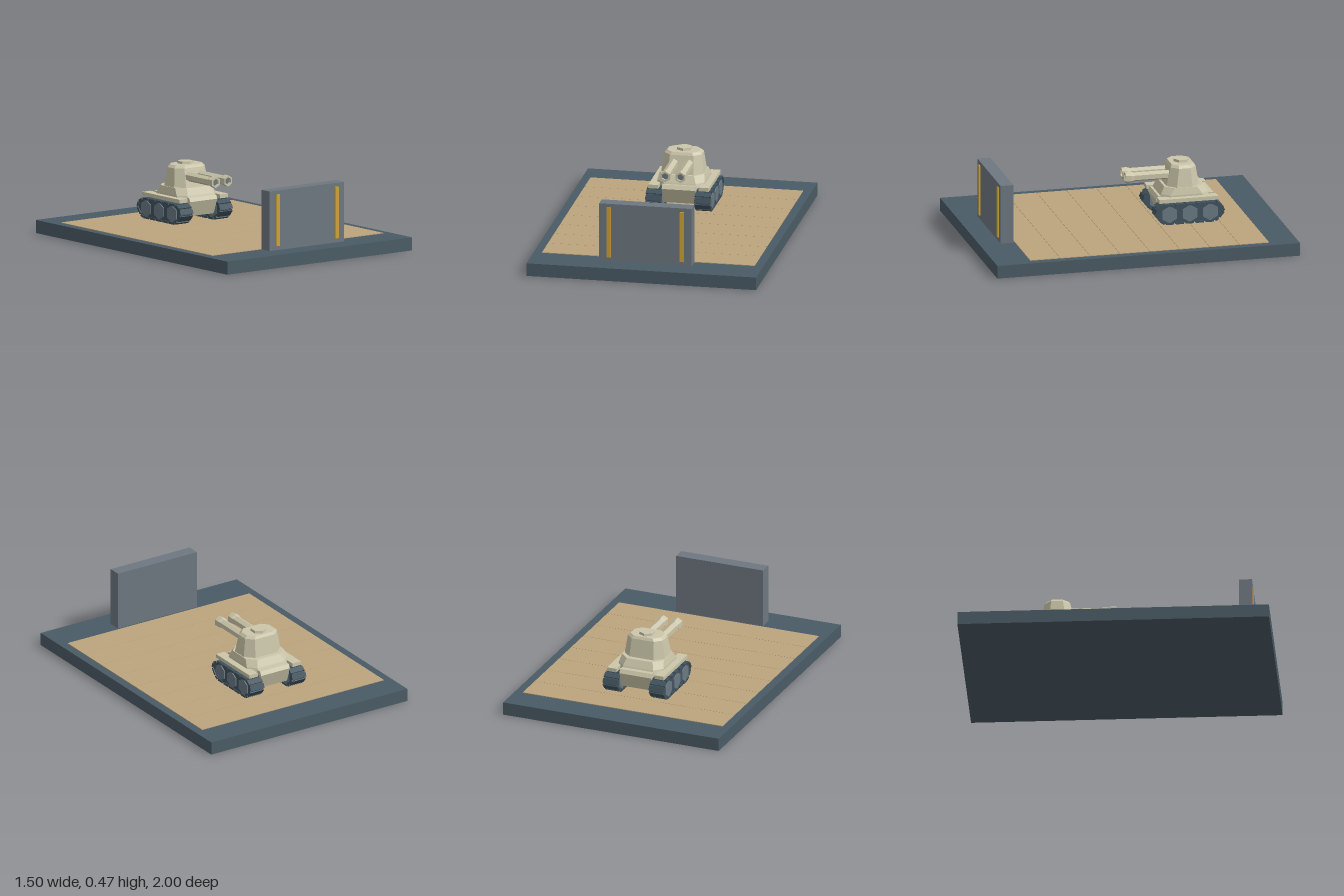
import * as THREE from 'three';

const mat = (name, color) => {
  const m = new THREE.MeshStandardMaterial({ color });
  m.name = name;
  return m;
};

// Split faces so every facet is flat
function facet(geo) {
  const g = geo.index ? geo.toNonIndexed() : geo;
  g.computeVertexNormals();
  return g;
}

// Chamfered-rectangle sections [y, halfWidth, zBack, zFront, chamfer] joined from bottom to top
function loft(sections) {
  const rings = sections.map(([y, w, b, f, c]) => [
    [w, y, f - c], [w, y, b + c], [w - c, y, b], [c - w, y, b],
    [-w, y, b + c], [-w, y, f - c], [c - w, y, f], [w - c, y, f]]);
  const pos = [];
  const tri = (...p) => p.forEach(v => pos.push(...v));
  for (let s = 0; s + 1 < rings.length; s++) {
    const a = rings[s], b = rings[s + 1];
    for (let i = 0; i < 8; i++) {
      const j = (i + 1) % 8;
      tri(a[i], a[j], b[j]);
      tri(a[i], b[j], b[i]);
    }
  }
  const lo = rings[0], hi = rings[rings.length - 1];
  for (let i = 1; i < 7; i++) {
    tri(hi[0], hi[i], hi[i + 1]);
    tri(lo[0], lo[i + 1], lo[i]);
  }
  const g = new THREE.BufferGeometry();
  g.setAttribute('position', new THREE.Float32BufferAttribute(pos, 3));
  g.computeVertexNormals();
  return g;
}

// Side profile of [z, y] points extruded across x, centred on x = 0
function sideExtrude(points, width) {
  const shape = new THREE.Shape(points.map(([z, y]) => new THREE.Vector2(-z, y)));
  const g = new THREE.ExtrudeGeometry(shape, { depth: width, bevelEnabled: false });
  g.translate(0, 0, -width / 2);
  g.rotateY(Math.PI / 2);
  return facet(g);
}

export function createModel() {
  const slate = mat('slate base', 0x4a5b65);
  const wood = mat('tan planks', 0xbca47d);
  const grey = mat('grey wall', 0x6e7880);
  const yellow = mat('yellow stripe', 0xcfa436);
  const beige = mat('beige armour', 0xcbc6aa);
  const dark = mat('dark track', 0x40525d);
  const steel = mat('steel wheel', 0x6a7983);

  const model = new THREE.Group();
  model.name = 'tankDiorama';
  const add = (parent, name, geo, material, x = 0, y = 0, z = 0) => {
    const m = new THREE.Mesh(geo, material);
    m.name = name;
    m.position.set(x, y, z);
    parent.add(m);
    return m;
  };
  const box = (parent, name, material, w, h, d, x, y, z) =>
    add(parent, name, new THREE.BoxGeometry(w, h, d), material, x, y, z);

  // Ground slab and plank floor
  box(model, 'base', slate, 1.5, 0.085, 2, 0, 0.0425, 0);
  const planks = 8, pitch = 1.58 / planks;
  for (let i = 0; i < planks; i++)
    box(model, 'plank', wood, 1.39, 0.006, pitch - 0.002, 0, 0.086, -0.81 + (i + 0.5) * pitch);

  // Barrier wall with two stripes
  const wall = new THREE.Group();
  wall.name = 'barrier';
  model.add(wall);
  box(wall, 'wallPanel', grey, 0.605, 0.387, 0.085, 0, 0.2815, 0.823);
  for (const s of [-1, 1])
    box(wall, 'wallStripe', yellow, 0.028, 0.335, 0.009, s * 0.24, 0.283, 0.869);

  const tank = new THREE.Group();
  tank.name = 'tank';
  model.add(tank);

  // Hull, sloped deck, turret and hatch
  add(tank, 'hull', sideExtrude([[-0.21, 0.24], [-0.25, 0.14], [-0.57, 0.14],
    [-0.605, 0.24], [-0.59, 0.265], [-0.225, 0.265]], 0.22), beige);
  add(tank, 'deck', loft([[0.25, 0.155, -0.565, -0.235, 0.05],
    [0.275, 0.155, -0.555, -0.245, 0.05], [0.32, 0.145, -0.53, -0.27, 0.055]]), beige);
  add(tank, 'turret', loft([[0.315, 0.14, -0.5, -0.285, 0.055],
    [0.44, 0.122, -0.48, -0.315, 0.045], [0.457, 0.105, -0.47, -0.325, 0.04]]), beige);
  add(tank, 'hatch', facet(new THREE.CylinderGeometry(0.05, 0.053, 0.02, 6)), beige, 0, 0.463, -0.405);

  // Hollow six-sided barrel with flared muzzle
  const barrel = new THREE.LatheGeometry([[0, -0.36], [0.03, -0.36], [0.03, -0.075], [0.037, -0.055],
    [0.037, -0.02], [0.024, -0.02], [0.024, -0.04]].map(p => new THREE.Vector2(...p)), 6);
  barrel.rotateX(Math.PI / 2);
  const barrelGeo = facet(barrel);

  // Track outline, relative to the track centre
  const loop = [[0.175, 0.06], [0.212, 0.036], [0.226, 0], [0.19, -0.045], [0.165, -0.06],
    [-0.165, -0.06], [-0.19, -0.045], [-0.226, 0], [-0.212, 0.036], [-0.175, 0.06]];
  const trackGeo = sideExtrude(loop, 0.09);
  const wheelGeo = new THREE.CylinderGeometry(0.056, 0.056, 0.1, 6);
  wheelGeo.rotateZ(Math.PI / 2);
  wheelGeo.rotateX(Math.PI / 2);
  const wheel = facet(wheelGeo);

  for (const s of [-1, 1]) {
    add(tank, 'gunBarrel', barrelGeo, beige, s * 0.05, 0.387, 0);
    const bore = add(tank, 'gunBore', new THREE.CircleGeometry(0.024, 6), steel, s * 0.05, 0.387, -0.035);
    bore.rotation.z = Math.PI / 2;
    box(tank, 'fender', beige, 0.065, 0.025, 0.39, s * 0.165, 0.252, -0.405);

    const track = new THREE.Group();
    track.name = s > 0 ? 'leftTrack' : 'rightTrack';
    track.position.set(s * 0.16, 0.165, -0.41);
    tank.add(track);
    add(track, 'trackBelt', trackGeo, dark);
    for (const z of [-0.135, 0, 0.135]) add(track, 'wheel', wheel, steel, s * 0.002, 0, z);

    // Tread plates along each segment of the belt
    loop.forEach(([z0, y0], i) => {
      const [z1, y1] = loop[(i + 1) % loop.length];
      const len = Math.hypot(z1 - z0, y1 - y0);
      const n = Math.max(1, Math.round(len / 0.068));
      for (let k = 0; k < n; k++) {
        const t = (k + 0.5) / n;
        const link = box(track, 'treadPlate', dark, 0.104, 0.014, len / n * 0.8,
          0, y0 + (y1 - y0) * t, z0 + (z1 - z0) * t);
        link.rotation.x = -Math.atan2(y1 - y0, z1 - z0);
      }
    });
  }
  return model;
}
